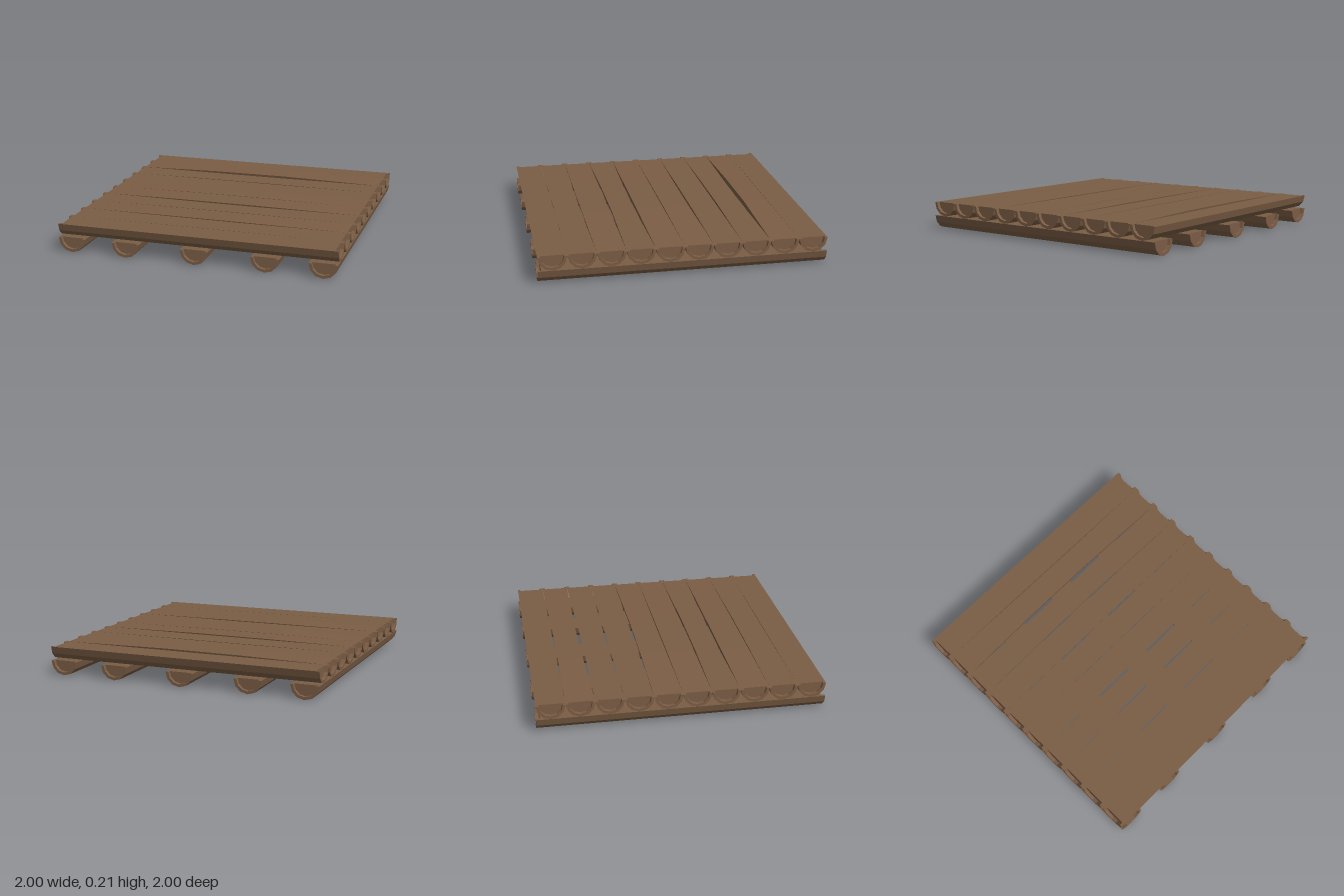
import * as THREE from 'three';

const SEG = 6, RIM = 0.02, RECESS = 0.025;

// Half-round arc at one position along the log: from its +z edge, under, to its -z edge
function arc(x, { c = 0, r = 0.1, top = 0, h = 0.1 }, inset = 0) {
  return Array.from({ length: SEG + 1 }, (_, k) => {
    const a = (k / SEG) * Math.PI;
    return [x, top - (h - inset) * Math.sin(a), c + (r - inset) * Math.cos(a)];
  });
}

// Split log lying along x, flat side up, with a bark rim round the recessed ends.
// stations: inner cross-sections [x, section], ordered from +x to -x
function splitLog(stations) {
  const pos = [];
  const tri = (a, b, c) => pos.push(...a, ...b, ...c);
  const quad = (a, b, c, d) => { tri(a, b, c); tri(a, c, d); };
  const end = {}, e = 1 - RECESS;

  const outer = [[1, end], [e, end], ...stations, [-e, end], [-1, end]].map(([x, s]) => arc(x, s));
  const [in1, in2, in3, in4] = [e, 1, -1, -e].map((x) => arc(x, end, RIM));

  // recess walls, rims and bark
  const skin = [in1, in2, ...outer, in3, in4];
  for (let i = 0; i + 1 < skin.length; i++) {
    const A = skin[i], B = skin[i + 1];
    for (let k = 0; k < SEG; k++) quad(A[k], B[k], B[k + 1], A[k + 1]);
  }
  // recessed end faces
  for (let k = 1; k < SEG; k++) {
    tri(in1[0], in1[k], in1[k + 1]);
    tri(in4[0], in4[k + 1], in4[k]);
  }
  // flat top
  const n = outer.length;
  for (let i = 1; i < n - 2; i++) {
    const A = outer[i], B = outer[i + 1];
    quad(A[0], A[SEG], B[SEG], B[0]);
  }
  // tops of the rim at both ends
  for (const [A, B, I, J] of [[outer[0], outer[1], in2, in1], [outer[n - 2], outer[n - 1], in4, in3]]) {
    quad(A[0], I[0], J[0], B[0]);
    quad(I[SEG], A[SEG], B[SEG], J[SEG]);
  }
  const geo = new THREE.BufferGeometry();
  geo.setAttribute('position', new THREE.Float32BufferAttribute(pos, 3));
  geo.computeVertexNormals();
  return geo;
}

export function createModel() {
  const model = new THREE.Group();
  model.name = 'logPlatform';
  const wood = new THREE.MeshStandardMaterial({ color: 0x7b5d45 });
  wood.name = 'brown wood';

  // supporting logs running front to back
  const support = splitLog([]);
  for (const x of [-0.9, -0.5, 0, 0.5, 0.9]) {
    const log = new THREE.Mesh(support, wood);
    log.name = 'supportLog';
    log.rotation.y = Math.PI / 2;
    log.position.set(x, 0.1, 0);
    model.add(log);
  }

  // deck logs, slightly uneven in the middle: [back edge, front edge, lift, extra depth]
  const deck = [
    [-1, -0.8, 0, 0], [-0.79, -0.615, 0.01, 0], [-0.59, -0.412, 0, -0.003],
    [-0.4, -0.205, 0, 0], [-0.19, -0.003, 0.005, 0.002], [0.003, 0.2, 0.005, 0.009],
    [0.215, 0.385, 0, -0.004], [0.4, 0.602, 0.003, 0], [0.61, 0.797, 0, 0.003], [0.8, 1, 0, 0],
  ];
  deck.forEach(([back, front, lift, depth], i) => {
    const z = -0.9 + 0.2 * i;
    const section = (t) => ({
      c: ((back + front) / 2 - z) * t,
      r: 0.1 + ((front - back) / 2 - 0.1) * t,
      top: lift * t,
      h: 0.1 + (depth + lift) * t,
    });
    const log = new THREE.Mesh(splitLog([[0.2, section(1)], [-0.35, section(0.85)]]), wood);
    log.name = 'deckLog';
    log.position.set(0, 0.2, z);
    model.add(log);
  });
  return model;
}
